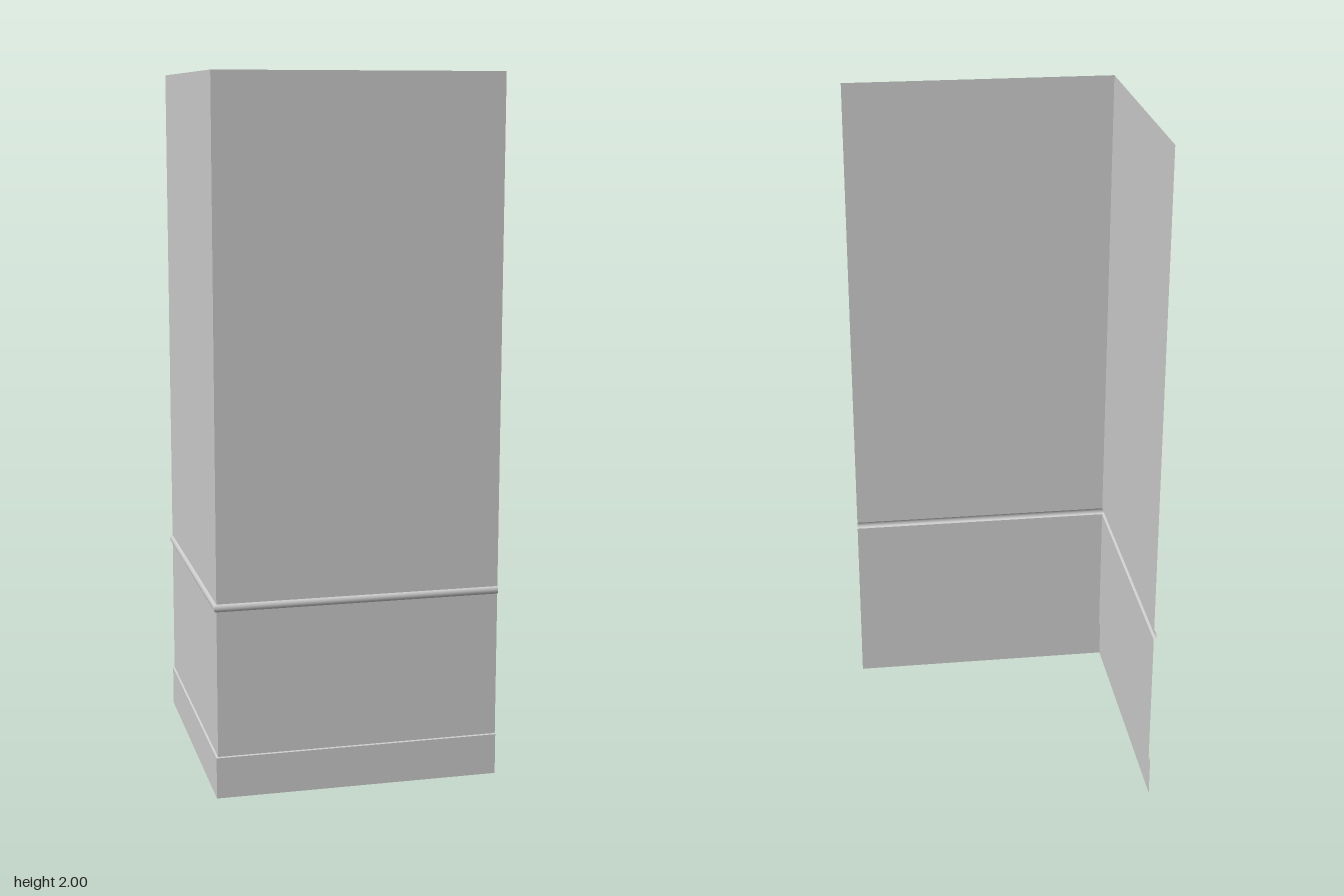
import * as THREE from 'three';

const END = 0.41;    // free ends and outermost reach of the moulding
const WALL = 0.402;  // distance of the wall planes from the centre
const BASE = 0.407;  // distance of the skirting faces

const material = new THREE.MeshStandardMaterial({ color: 0xcccccc, side: THREE.DoubleSide });

// Sweeps a [reach, height] profile (listed top to bottom) along one leg, mitred at the corner.
function leg(profile, side) {
  const positions = [], index = [];
  profile.forEach(([d, y], i) => {
    if (side) positions.push(-d, y, -END, -d, y, d);
    else positions.push(-d, y, d, END, y, d);
    if (i) {
      const a = 2 * i - 2;
      index.push(a, a + 2, a + 1, a + 1, a + 2, a + 3);
    }
  });
  const geometry = new THREE.BufferGeometry();
  geometry.setAttribute('position', new THREE.Float32BufferAttribute(positions, 3));
  geometry.setIndex(index);
  geometry.computeVertexNormals();
  return geometry;
}

// Half-round moulding bulging out of the wall
const RAIL_Y = 0.549, RAIL_R = 0.011;
const railProfile = [];
for (let i = 0; i <= 10; i++) {
  const a = Math.PI * (0.5 - i / 10);
  railProfile.push([WALL + (END - WALL) * Math.cos(a), RAIL_Y + RAIL_R * Math.sin(a)]);
}

export function createModel() {
  const model = new THREE.Group();
  model.name = 'cornerWall';
  const parts = {
    upperWall: [[WALL, 2], [WALL, RAIL_Y + RAIL_R]],
    dadoRail: railProfile,
    lowerWall: [[WALL, RAIL_Y - RAIL_R], [WALL, 0.12]],
    skirtingLedge: [[WALL, 0.12], [BASE, 0.118]],
    skirtingBoard: [[BASE, 0.118], [BASE, 0]],
  };
  // Each part runs along the front leg and the side leg
  for (const [name, profile] of Object.entries(parts)) {
    const group = new THREE.Group();
    group.name = name;
    for (const side of [false, true]) {
      const mesh = new THREE.Mesh(leg(profile, side), material);
      mesh.name = name + (side ? 'Side' : 'Front');
      group.add(mesh);
    }
    model.add(group);
  }
  return model;
}
